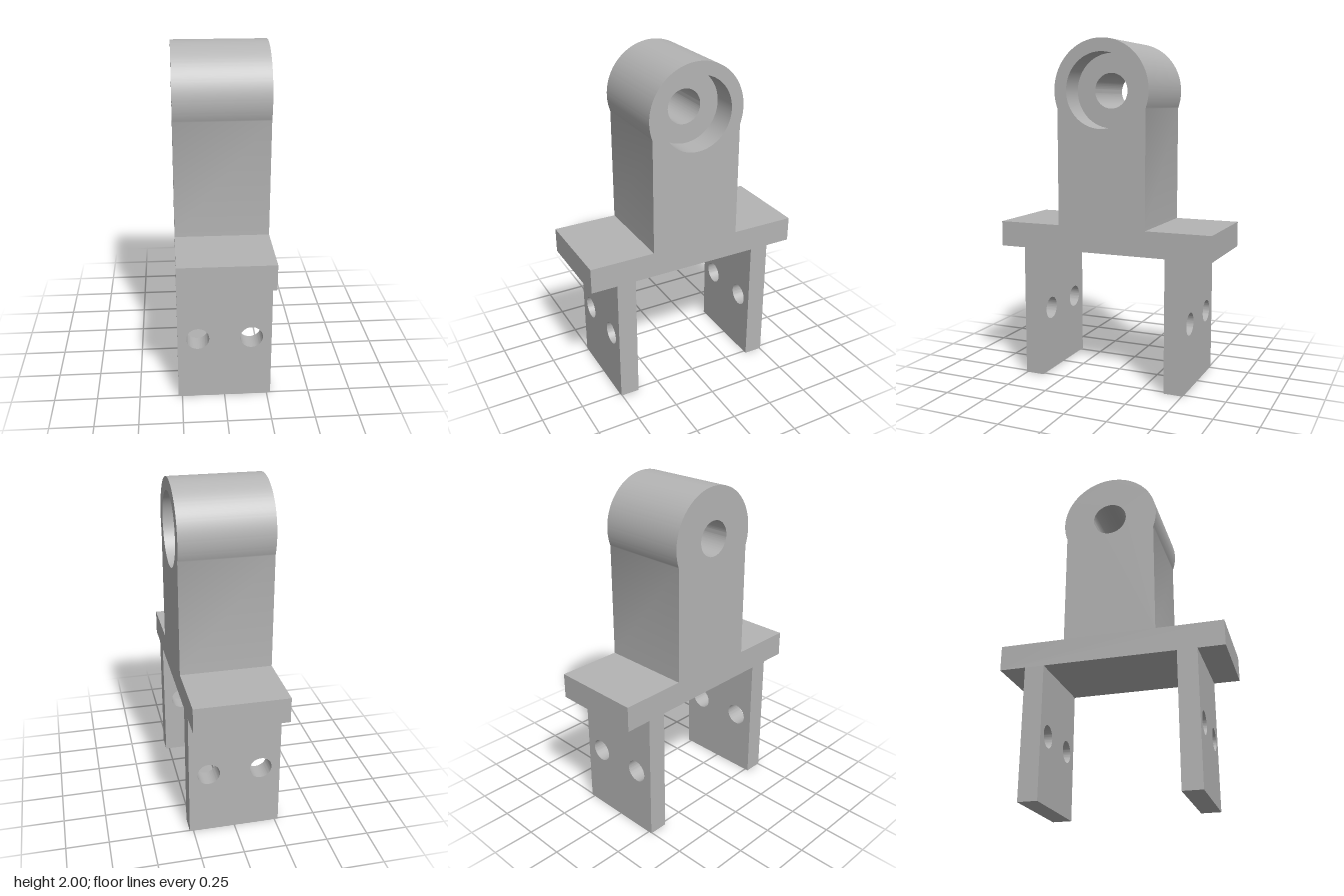
import * as THREE from 'three';
import { toCreasedNormals } from 'three/addons/utils/BufferGeometryUtils.js';

const HALF = 0.272;                       // half width of bracket and neck
const EYE = { y: 1.71, r: 0.29 };         // rounded eye at the top
const BORE = 0.102, RECESS = 0.215, RECESS_DEPTH = 0.15;
const PLATE = { bottom: 0.78, top: 0.93, half: 0.66 };
const LEG = { inner: 0.39, outer: 0.505 };
const CREASE = 0.5;

function circle(x, y, r) {
  return new THREE.Path().absarc(x, y, r, 0, Math.PI * 2, true);
}

// Side silhouette: plate, neck and rounded eye
function silhouette(holeRadius) {
  const a = -Math.acos(HALF / EYE.r);
  const s = new THREE.Shape();
  s.moveTo(-PLATE.half, PLATE.bottom);
  s.lineTo(PLATE.half, PLATE.bottom);
  s.lineTo(PLATE.half, PLATE.top);
  s.lineTo(HALF, PLATE.top);
  s.absarc(0, EYE.y, EYE.r, a, Math.PI - a, false);
  s.lineTo(-HALF, PLATE.top);
  s.lineTo(-PLATE.half, PLATE.top);
  s.closePath();
  if (holeRadius) s.holes.push(circle(0, EYE.y, holeRadius));
  return s;
}

// Extruded walls without the end caps
function wallsOnly(shape, depth) {
  const full = new THREE.ExtrudeGeometry(shape, { depth, bevelEnabled: false, curveSegments: 64 });
  const { start, count } = full.groups[1];
  const pos = full.getAttribute('position').array.slice(start * 3, (start + count) * 3);
  const geo = new THREE.BufferGeometry();
  geo.setAttribute('position', new THREE.BufferAttribute(pos, 3));
  return toCreasedNormals(geo, CREASE);
}

export function createModel() {
  const model = new THREE.Group();
  model.name = 'mountingBracket';
  const grey = new THREE.MeshStandardMaterial({ color: 0xb4b4b4 });
  grey.name = 'grey';

  const add = (name, geometry, parent = model) => {
    const mesh = new THREE.Mesh(geometry, grey);
    mesh.name = name;
    parent.add(mesh);
    return mesh;
  };

  // Body: outer walls, two side faces and the stepped bore
  const body = new THREE.Group();
  body.name = 'body';
  model.add(body);

  add('bodyWalls', wallsOnly(silhouette(0), HALF * 2)
    .translate(0, 0, -HALF).rotateY(Math.PI / 2), body);
  for (const [name, side, hole] of [['leftFace', 1, RECESS], ['rightFace', -1, BORE]]) {
    add(name, new THREE.ShapeGeometry(silhouette(hole), 64)
      .rotateY(side * Math.PI / 2).translate(side * HALF, 0, 0), body);
  }

  const step = HALF - RECESS_DEPTH;
  const profile = [[RECESS, HALF], [RECESS, step], [BORE, step], [BORE, -HALF]]
    .map(([r, y]) => new THREE.Vector2(r, y));
  add('steppedBore', toCreasedNormals(new THREE.LatheGeometry(profile, 128), CREASE)
    .rotateZ(-Math.PI / 2).translate(0, EYE.y, 0), body);

  // Legs: flat plates with two bolt holes each
  const legShape = new THREE.Shape([
    [-HALF, 0], [HALF, 0], [HALF, PLATE.bottom], [-HALF, PLATE.bottom],
  ].map(([x, y]) => new THREE.Vector2(x, y)));
  for (const x of [-0.155, 0.155]) legShape.holes.push(circle(x, 0.39, 0.066));
  const legGeo = toCreasedNormals(new THREE.ExtrudeGeometry(legShape, {
    depth: LEG.outer - LEG.inner, bevelEnabled: false, curveSegments: 48,
  }), CREASE);
  add('frontLeg', legGeo).position.z = LEG.inner;
  add('backLeg', legGeo).position.z = -LEG.outer;

  return model;
}
